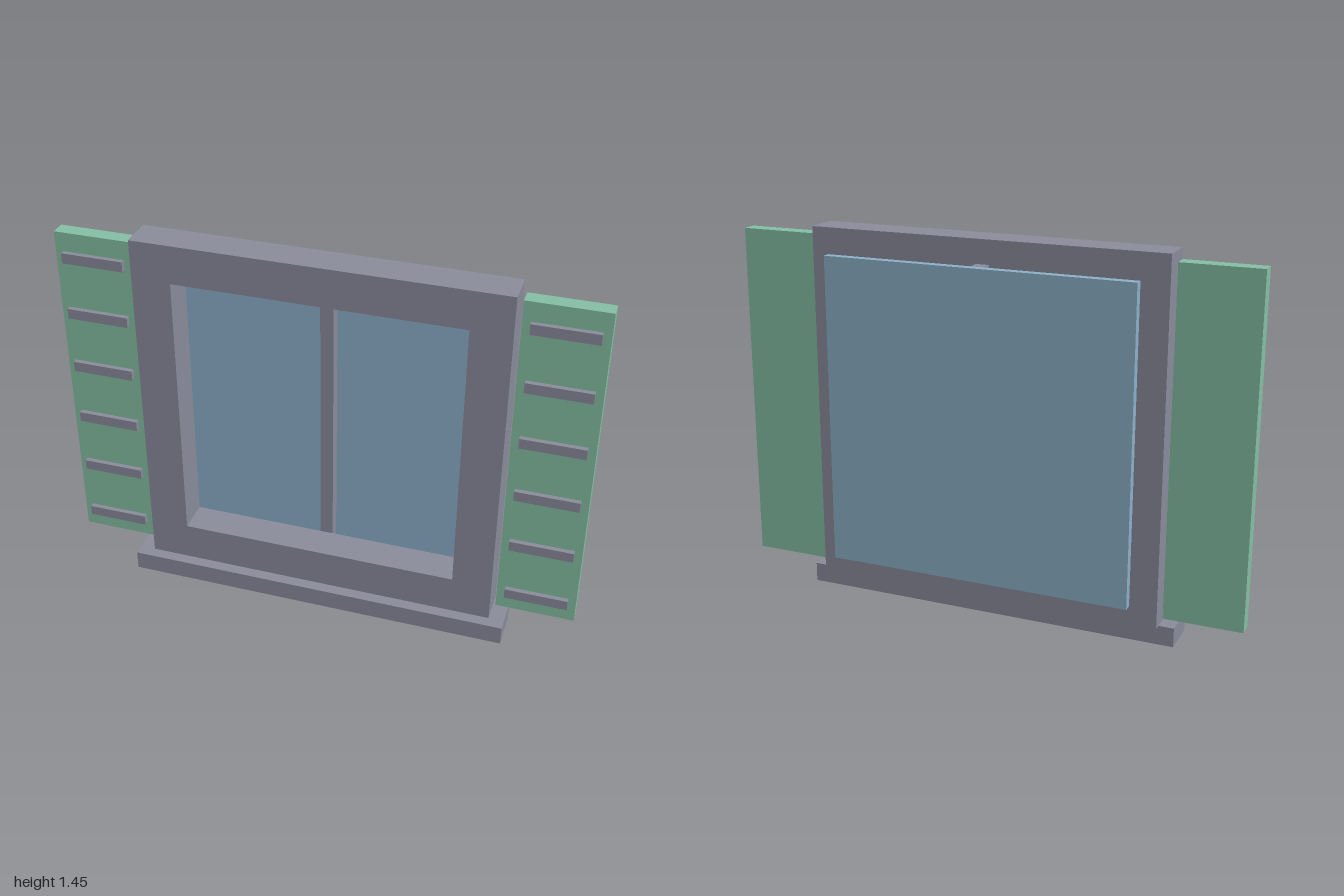
import * as THREE from 'three';

function material(name, color) {
  const m = new THREE.MeshStandardMaterial({ color });
  m.name = name;
  return m;
}

export function createModel() {
  const group = new THREE.Group();
  const stone = material('grey stone', 0x8b8d9d);
  const green = material('shutter green', 0x86c0a5);
  const blue = material('glass blue', 0x8db1ca);

  // Box given by its lower and upper limits on each axis
  function box(name, mat, [x0, x1], [y0, y1], [z0, z1]) {
    const mesh = new THREE.Mesh(new THREE.BoxGeometry(x1 - x0, y1 - y0, z1 - z0), mat);
    mesh.position.set((x0 + x1) / 2, (y0 + y1) / 2, (z0 + z1) / 2);
    mesh.name = name;
    group.add(mesh);
  }

  function rectangle(target, x, y0, y1) {
    target.moveTo(-x, y0).lineTo(x, y0).lineTo(x, y1).lineTo(-x, y1).closePath();
    return target;
  }

  // Frame with its square opening
  const outline = rectangle(new THREE.Shape(), 0.687, 0.075, 1.45);
  outline.holes.push(rectangle(new THREE.Path(), 0.5375, 0.226, 1.302));
  const frame = new THREE.Mesh(
    new THREE.ExtrudeGeometry(outline, { depth: 0.132, bevelEnabled: false }), stone);
  frame.position.z = -0.048;
  frame.name = 'frame';
  group.add(frame);

  // Sill, centre bar and the pane behind the frame
  box('sill', stone, [-0.746, 0.746], [0, 0.075], [-0.021, 0.128]);
  box('centreBar', stone, [-0.025, 0.025], [0.168, 1.36], [-0.095, -0.048]);
  box('glass', blue, [-0.596, 0.596], [0.168, 1.36], [-0.128, -0.095]);

  // Shutters with six slats each
  for (const [side, s] of [['left', 1], ['right', -1]]) {
    const span = (a, b) => (s > 0 ? [a, b] : [-b, -a]);
    box(side + 'Shutter', green, span(0.702, 1), [0.107, 1.418], [-0.021, 0.038]);
    for (let i = 0; i < 6; i++) {
      const y = 0.187 + i * 0.2274;
      box(side + 'Slat' + (i + 1), stone, span(0.733, 0.971), [y - 0.02, y + 0.02], [0.038, 0.057]);
    }
  }
  return group;
}
